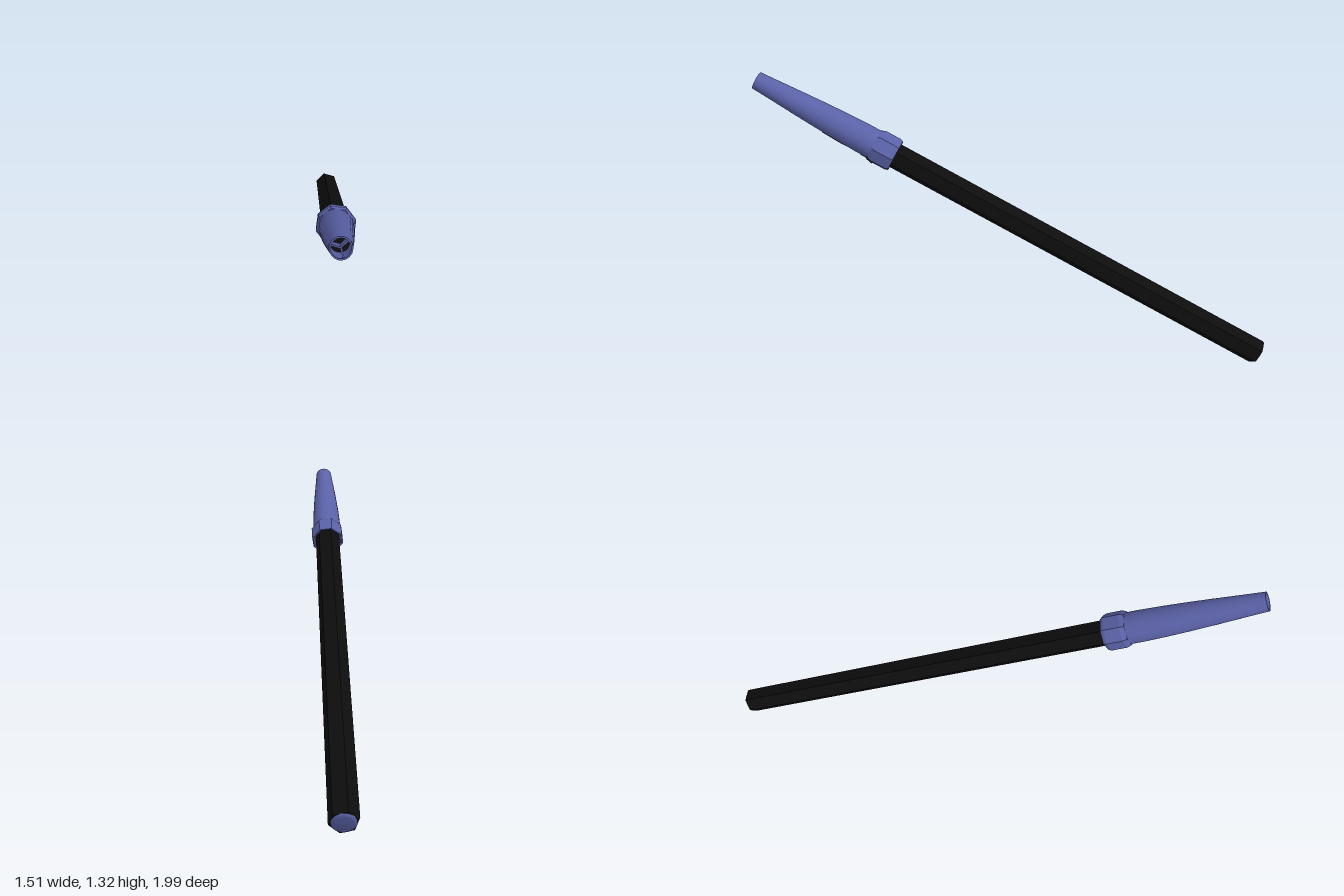
import * as THREE from 'three';

const blue = new THREE.MeshStandardMaterial({ color: 0x5a61a6, side: THREE.DoubleSide });
blue.name = 'cap blue';
const black = new THREE.MeshStandardMaterial({ color: 0x0d0d0d, side: THREE.DoubleSide });
black.name = 'barrel black';

function add(group, name, geometry, material) {
  const mesh = new THREE.Mesh(geometry, material);
  mesh.name = name;
  group.add(mesh);
  return mesh;
}

// Turned part from [radius, distance along the pen] pairs
function turned(profile, sides, start = 0, length = Math.PI * 2) {
  return new THREE.LatheGeometry(profile.map(([r, t]) => new THREE.Vector2(r, t)), sides, start, length);
}

// Faceted version of a geometry
function faceted(geometry) {
  const flat = geometry.toNonIndexed();
  flat.computeVertexNormals();
  return flat;
}

export function createModel() {
  const model = new THREE.Group();
  const pen = new THREE.Group();
  pen.name = 'pen';
  model.add(pen);

  // The pen is built along local y, with its underside facing local +z
  const back = new THREE.Vector3(-0.71, 0.053, -0.957);
  const tip = new THREE.Vector3(0.72, 1.29, 0.97);
  const length = back.distanceTo(tip);
  const along = tip.clone().sub(back).normalize();
  const under = new THREE.Vector3(0.46, -0.86, 0.21).addScaledVector(along, -along.dot(new THREE.Vector3(0.46, -0.86, 0.21))).normalize();
  const side = along.clone().cross(under);
  pen.quaternion.setFromRotationMatrix(new THREE.Matrix4().makeBasis(side, along, under));
  pen.position.copy(back);

  // Six-sided barrel with a slightly bevelled back end, and its round plug
  add(pen, 'barrel', faceted(turned([[0, 0.004], [0.057, 0.004], [0.062, 0.014], [0.062, 2.1], [0, 2.1]], 6)), black);
  add(pen, 'endPlug', turned([[0, -0.003], [0.035, -0.002], [0.05, 0.003], [0.05, 0.02]], 24), blue);

  // Eight-sided collar at the mouth of the cap
  add(pen, 'capCollar', faceted(turned([
    [0.068, 2.05], [0.068, 1.985], [0.078, 1.98], [0.084, 1.995], [0.084, 2.07], [0.076, 2.09], [0.066, 2.09],
  ], 8)), blue);

  // Tapering cap shell, open at the tip
  const shell = [[0.071, 2.07], [0.071, 2.15], [0.068, 2.25], [0.063, 2.36], [0.056, 2.48], [0.048, 2.6], [0.042, length]];
  add(pen, 'cap', turned(shell, 28), blue);
  add(pen, 'tipRim', turned([[0.042, length], [0.036, length]], 28), blue);
  add(pen, 'tipBore', turned([[0.036, length], [0.036, length - 0.15]], 28), blue);
  add(pen, 'boreFloor', turned([[0.037, length - 0.15], [0, length - 0.15]], 28), black);

  // Three fins inside the open tip
  for (let i = 0; i < 3; i++) {
    const fin = new THREE.BoxGeometry(0.006, 0.08, 0.036);
    fin.translate(0, length - 0.055, 0.018);
    fin.rotateY(i * Math.PI * 2 / 3);
    add(pen, 'tipFin', fin, blue);
  }

  // Dark slots on the underside of the cap
  add(pen, 'capSlot', turned([[0.0705, 2.21], [0.0695, 2.25], [0.0662, 2.33]], 6, -0.28, 0.56), black);
  add(pen, 'collarSlot', turned([[0.0845, 2.06], [0.0775, 2.092], [0.073, 2.094], [0.073, 2.125]], 6, -0.5, 1), black);

  return model;
}
